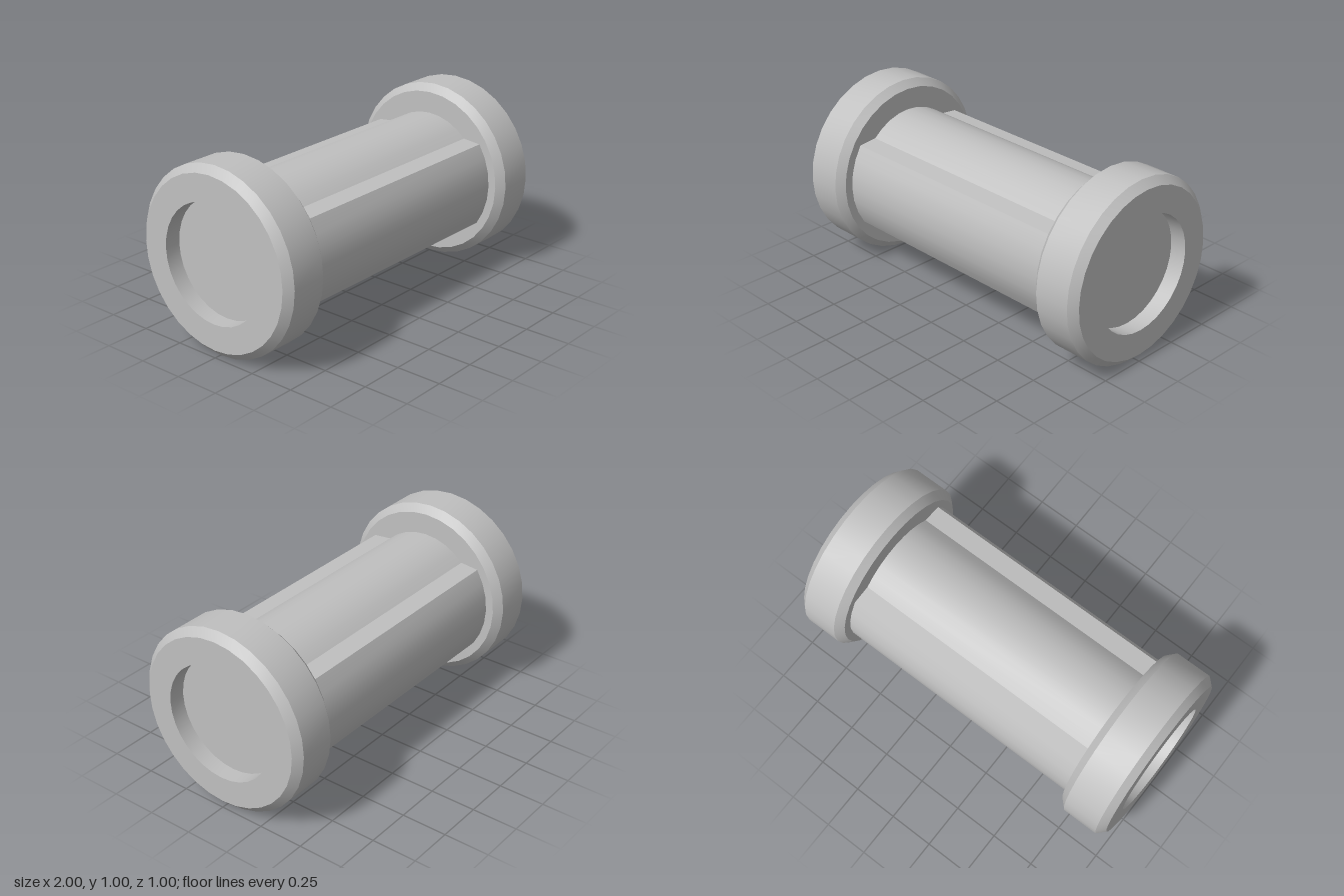
import * as THREE from 'three';
import { toCreasedNormals } from 'three/addons/utils/BufferGeometryUtils.js';

const SEGMENTS = 32;
const CENTRE_Y = 0.5;
const CREASE = Math.PI / 6;

// Flanged end with chamfered rims and a round recess, turned about x
function endCapGeometry() {
  const profile = [
    [0, 0.72], [0.46, 0.72], [0.5, 0.76], [0.5, 0.96],
    [0.46, 1], [0.317, 1], [0.317, 0.91], [0, 0.91],
  ].map(([r, h]) => new THREE.Vector2(r, h));
  const geometry = new THREE.LatheGeometry(profile, SEGMENTS);
  geometry.rotateZ(-Math.PI / 2);
  return toCreasedNormals(geometry, CREASE);
}

// Round core with a wider raised band along its front and back
function coreGeometry() {
  const halfLength = 0.73;
  const points = [];
  for (let i = 0; i < SEGMENTS; i++) {
    const angle = (i / SEGMENTS) * Math.PI * 2;
    const isBand = Math.abs(Math.cos(angle)) > 0.75;
    const radius = isBand ? 0.415 : 0.341;
    points.push(new THREE.Vector2(radius * Math.cos(angle), radius * Math.sin(angle)));
  }
  const geometry = new THREE.ExtrudeGeometry(new THREE.Shape(points), {
    depth: halfLength * 2, bevelEnabled: false,
  });
  geometry.translate(0, 0, -halfLength);
  geometry.rotateY(Math.PI / 2);
  return toCreasedNormals(geometry, CREASE);
}

export function createModel() {
  const group = new THREE.Group();
  group.name = 'spool';

  const grey = new THREE.MeshStandardMaterial({ color: 0xc0c0c0 });
  grey.name = 'plain grey';

  const add = (name, geometry) => {
    const mesh = new THREE.Mesh(geometry, grey);
    mesh.name = name;
    mesh.position.y = CENTRE_Y;
    group.add(mesh);
    return mesh;
  };

  add('core', coreGeometry());

  // Matching caps, the right one turned to face the other way
  const cap = endCapGeometry();
  add('leftEndCap', cap);
  add('rightEndCap', cap).rotation.y = Math.PI;

  return group;
}
